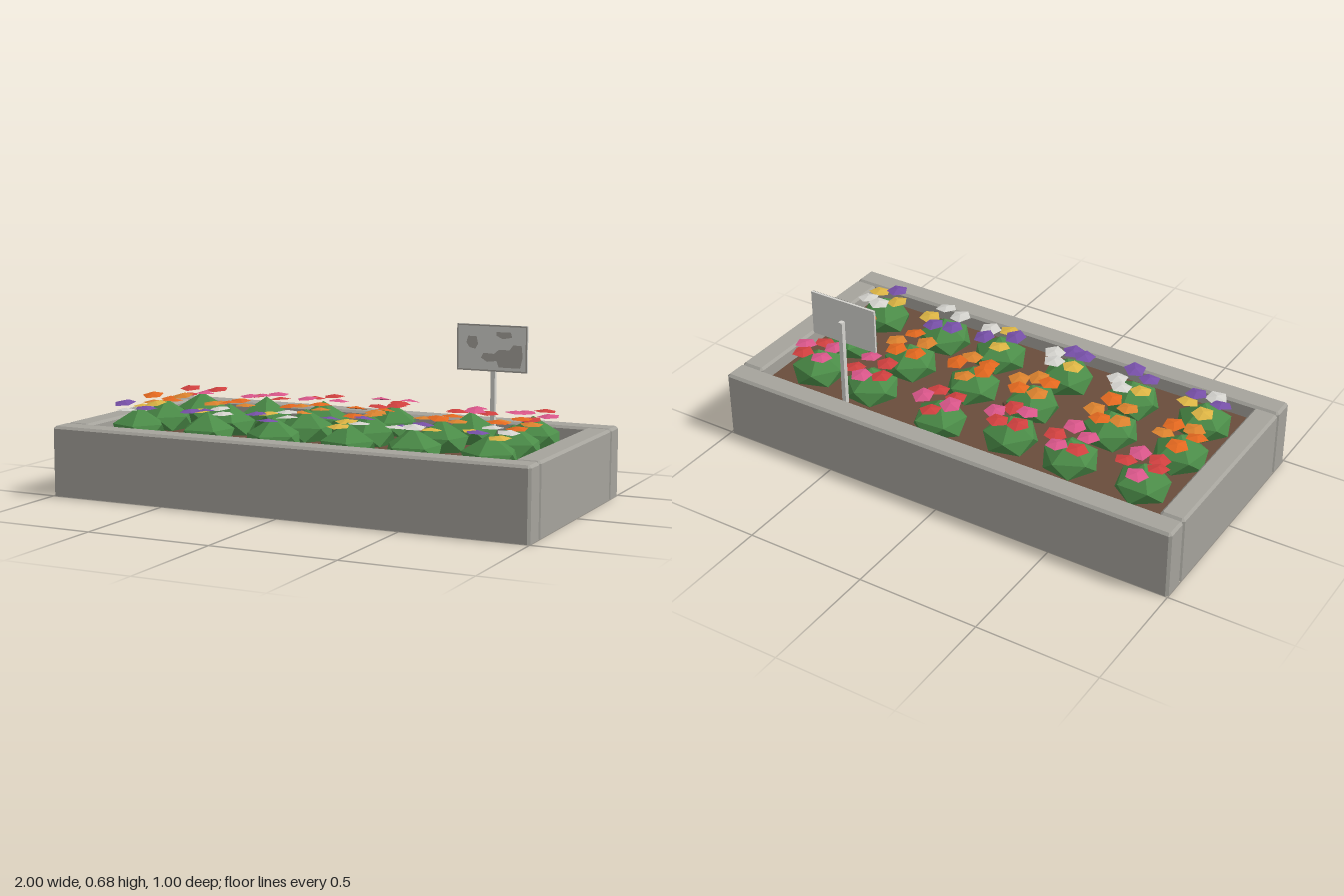
import * as THREE from 'three';

const mat = (name, color, flatShading = true) => {
  const m = new THREE.MeshStandardMaterial({ color, flatShading, side: THREE.DoubleSide });
  m.name = name;
  return m;
};

export function createModel() {
  const concrete = mat('concrete grey', 0xa5a39c);
  const soilMat = mat('soil brown', 0x694d3b);
  const leaf = mat('leaf green', 0x4b8c48);
  const pale = mat('pale white', 0xd4d3ce);
  const petals = {
    r: mat('red', 0xd0403f), k: mat('pink', 0xd9568a),
    o: mat('orange', 0xe3681f), a: mat('amber', 0xdb822e),
    y: mat('yellow', 0xdcb444), p: mat('purple', 0x7750a8), w: pale,
  };

  const model = new THREE.Group();
  model.name = 'flowerBed';
  const add = (parent, name, geo, material, x = 0, y = 0, z = 0) => {
    const m = new THREE.Mesh(geo, material);
    m.name = name;
    m.position.set(x, y, z);
    parent.add(m);
    return m;
  };
  const polygon = (pts) => new THREE.Shape(pts.map(([x, y]) => new THREE.Vector2(x, y)));

  // Kerb beam, chamfered on its upright and top edges, flat underneath
  const beam = (w, d, h = 0.28, c = 0.01) => {
    const a = w / 2, b = d / 2;
    const outline = polygon([[a, -b + c], [a, b - c], [a - c, b], [-a + c, b],
      [-a, b - c], [-a, -b + c], [-a + c, -b], [a - c, -b]]);
    const g = new THREE.ExtrudeGeometry(outline, {
      depth: h - c, bevelSize: c, bevelThickness: c, bevelOffset: -c, bevelSegments: 1,
    });
    g.rotateX(-Math.PI / 2);
    const p = g.attributes.position;
    for (let i = 0; i < p.count; i++) p.setY(i, Math.max(0, p.getY(i)));
    g.computeVertexNormals();
    return g;
  };
  const longBeam = beam(2, 0.1), sideBeam = beam(0.1, 0.8);
  for (const s of [1, -1]) {
    add(model, s > 0 ? 'frontKerb' : 'backKerb', longBeam, concrete, 0, 0, s * 0.45);
    add(model, s > 0 ? 'leftKerb' : 'rightKerb', sideBeam, concrete, s * 0.95, 0, 0);
  }

  // Soil and a few half-buried crumbs
  const soilY = 0.218;
  add(model, 'soil', new THREE.PlaneGeometry(1.8, 0.8).rotateX(-Math.PI / 2), soilMat, 0, soilY, 0);
  for (const [x, z] of [[-0.03, -0.14], [-0.02, -0.02], [-0.47, 0.14]]) {
    add(model, 'soilCrumb', new THREE.DodecahedronGeometry(0.015), soilMat, x, soilY + 0.005, z);
  }

  // Bush: icosahedron standing on a corner, cut flat at the soil
  const bushGeo = new THREE.IcosahedronGeometry(0.119, 0);
  bushGeo.rotateX(-Math.atan2((1 + Math.sqrt(5)) / 2, 1));
  const bp = bushGeo.attributes.position;
  for (let i = 0; i < bp.count; i++) bp.setY(i, Math.max(0, bp.getY(i)));
  bushGeo.computeVertexNormals();

  // Blossom: shallow five-sided cone
  const blossomGeo = new THREE.ConeGeometry(0.046, 0.01, 5, 1);

  // x, z, turn clockwise from the back in degrees, blossom colours
  const plants = [
    [-0.75, -0.24, -5, 'krkrr'], [-0.44, -0.24, 20, 'krkkr'], [-0.17, -0.23, 15, 'rkrkr'],
    [0.12, -0.28, 0, 'rkrrk'], [0.48, -0.23, 0, 'krkrr'], [0.74, -0.23, 25, 'rkrkk'],
    [-0.78, 0, -15, 'oaoao'], [-0.48, 0, 10, 'oaoaa'], [-0.13, 0, 25, 'oaaoa'],
    [0.14, -0.01, 0, 'aoaoo'], [0.45, 0, 20, 'oaoao'], [0.75, 0.01, 5, 'oaooa'],
    [-0.76, 0.24, -20, 'yypwp'], [-0.45, 0.23, 15, 'wwppy'], [-0.15, 0.24, 25, 'wwppy'],
    [0.17, 0.24, -30, 'ypwyp'], [0.44, 0.24, 10, 'pywwp'], [0.75, 0.25, -15, 'wwypy'],
  ];
  plants.forEach(([x, z, deg, colours], n) => {
    const plant = new THREE.Group();
    plant.name = 'plant';
    plant.position.set(x, soilY + 0.002, z);
    model.add(plant);
    add(plant, 'bush', bushGeo, leaf).rotation.y = n * 1.7;
    [...colours].forEach((c, i) => {
      const t = THREE.MathUtils.degToRad(deg + i * 72);
      const y = 0.117 + 0.009 * ((i * 2 + n) % 3);
      const b = add(plant, 'blossom', blossomGeo, petals[c],
        Math.sin(t) * 0.067, y, -Math.cos(t) * 0.067);
      b.rotation.set(0.1 * Math.sin(n + i * 2), n + i * 1.3, 0.1 * Math.cos(n * 2 + i));
    });
  });

  // Sign on a post
  const sign = new THREE.Group();
  sign.name = 'sign';
  sign.position.set(0.53, 0, 0);
  model.add(sign);
  add(sign, 'signPost', new THREE.BoxGeometry(0.018, 0.372, 0.02), pale, 0, 0.404, -0.34);
  add(sign, 'signBoard', new THREE.BoxGeometry(0.296, 0.185, 0.01), pale, 0, 0.5825, -0.323);

  // Thin painted border and patches on the board
  const border = polygon([[-0.148, -0.0925], [0.148, -0.0925], [0.148, 0.0925], [-0.148, 0.0925]]);
  border.holes.push(polygon([[-0.142, -0.0865], [-0.142, 0.0865], [0.142, 0.0865], [0.142, -0.0865]]));
  const patches = [
    polygon([[-0.1, 0.045], [-0.065, 0.045], [-0.058, 0.015], [-0.07, -0.005], [-0.095, 0], [-0.108, 0.02]]),
    polygon([[-0.045, -0.04], [-0.02, -0.055], [0.02, -0.05], [0.03, -0.075], [0.12, -0.075],
      [0.13, -0.03], [0.125, 0.015], [0.09, 0.015], [0.075, -0.005], [0.03, -0.005],
      [0.01, -0.022], [-0.035, -0.02]]),
    polygon([[0.02, 0.065], [0.08, 0.065], [0.085, 0.045], [0.045, 0.038], [0.02, 0.05]]),
  ];
  add(sign, 'signBorder', new THREE.ShapeGeometry(border), concrete, 0, 0.5825, -0.3165);
  add(sign, 'signPatches', new THREE.ShapeGeometry(patches), concrete, 0, 0.5825, -0.3165);

  return model;
}
